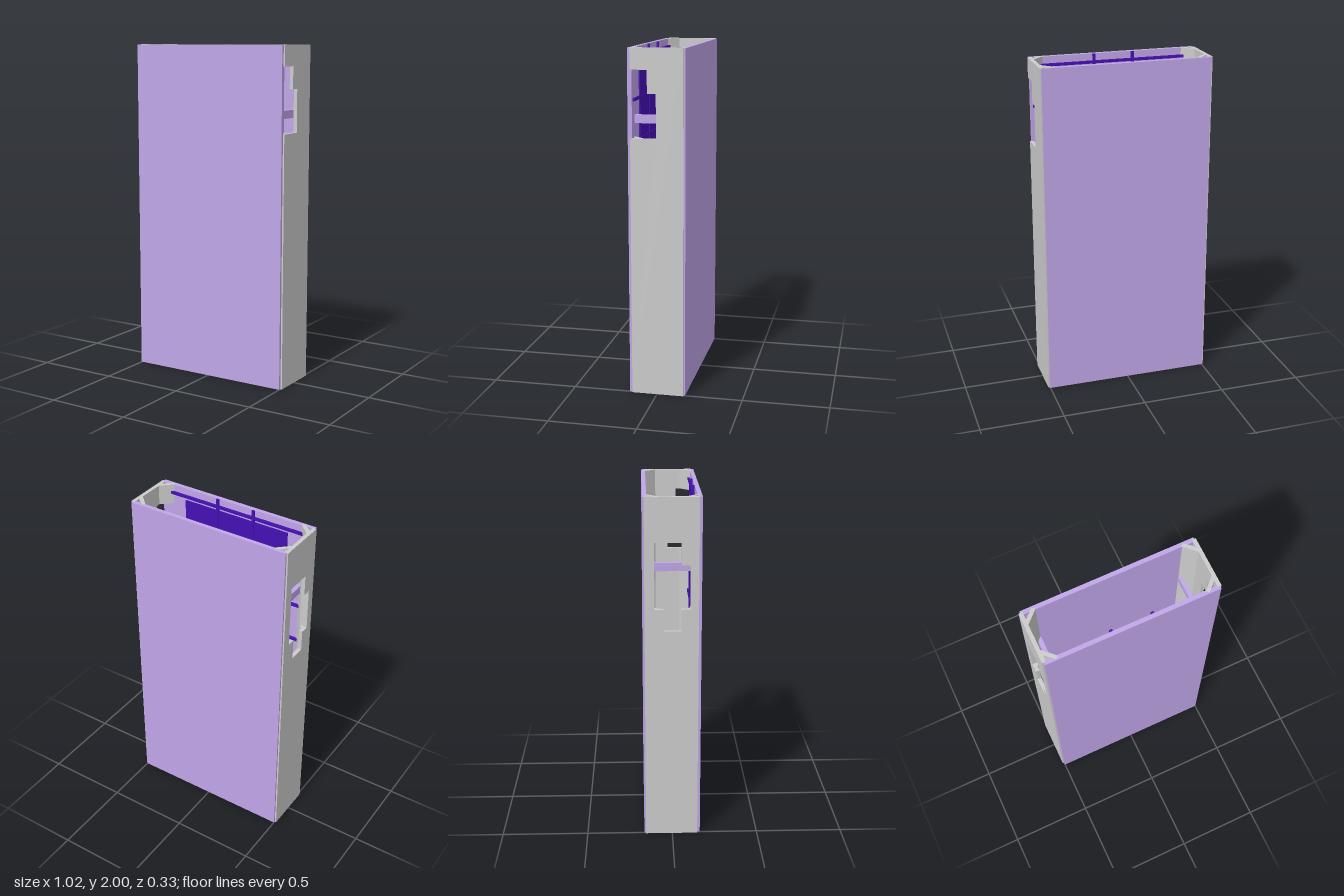
import * as THREE from 'three';

const material = (color) => new THREE.MeshStandardMaterial({ color, flatShading: true });

export function createModel() {
  const model = new THREE.Group();
  const grey = material(0xcccccc);
  const lilac = material(0xc0a6e8);
  const violet = material(0x4510b4);

  function add(name, geometry, mat) {
    const mesh = new THREE.Mesh(geometry, mat);
    mesh.name = name;
    model.add(mesh);
    return mesh;
  }

  function box(name, mat, x0, x1, y0, y1, z0, z1) {
    const geometry = new THREE.BoxGeometry(x1 - x0, y1 - y0, z1 - z0);
    geometry.translate((x0 + x1) / 2, (y0 + y1) / 2, (z0 + z1) / 2);
    return add(name, geometry, mat);
  }

  const outline = (points) => points.map(([a, b]) => new THREE.Vector2(a, b));

  // Side panel: a (z, y) outline given thickness along x
  function sidePanel(name, points, holes, x0, x1) {
    const shape = new THREE.Shape(outline(points));
    holes.forEach((hole) => shape.holes.push(new THREE.Path(outline(hole))));
    const geometry = new THREE.ExtrudeGeometry(shape, { depth: x1 - x0, bevelEnabled: false });
    geometry.rotateY(-Math.PI / 2).translate(x1, 0, 0);
    add(name, geometry, grey);
  }

  // Corner brace: an (x, z) outline mirrored to its corner and raised from y0 to y1
  const fullBrace = [[0.49, 0.075], [0.42, 0.143], [0.437, 0.157], [0.49, 0.107]];
  const notchedBrace = [[0.49, 0.1], [0.464, 0.1], [0.42, 0.143], [0.437, 0.157], [0.49, 0.107]];
  function brace(name, profile, sx, sz, y0, y1) {
    const shape = new THREE.Shape(outline(profile.map(([x, z]) => [x * sx, -z * sz])));
    const geometry = new THREE.ExtrudeGeometry(shape, { depth: y1 - y0, bevelEnabled: false });
    geometry.rotateX(-Math.PI / 2).translate(0, y0, 0);
    add(name, geometry, grey);
  }

  // Front and back plates
  box('frontPlate', lilac, -0.502, 0.502, 0.001, 1.999, 0.138, 0.163);
  box('backPlate', lilac, -0.502, 0.502, 0.001, 1.999, -0.165, -0.14);

  // Left panel, with a stepped notch open to the front edge
  sidePanel('leftPanel', [
    [-0.155, 0], [0.147, 0], [0.147, 1.5], [0, 1.5], [0, 1.75],
    [0.05, 1.75], [0.05, 1.88], [0.147, 1.88], [0.147, 2], [-0.155, 2],
  ], [], 0.489, 0.511);

  // Right panel, with a stepped window
  sidePanel('rightPanel', [[-0.155, 0], [0.147, 0], [0.147, 2], [-0.155, 2]], [[
    [-0.1, 1.375], [-0.05, 1.375], [-0.05, 1.25], [0.05, 1.25], [0.05, 1.375],
    [0.1, 1.375], [0.1, 1.625], [0.05, 1.625], [0.05, 1.75], [-0.1, 1.75],
  ]], -0.511, -0.489);

  // Diagonal corner braces, cut back where the openings pass through them
  brace('leftBackBrace', fullBrace, 1, -1, 0, 2);
  brace('leftFrontBraceLower', fullBrace, 1, 1, 0, 1.5);
  brace('leftFrontBraceUpper', fullBrace, 1, 1, 1.88, 2);
  [['Front', 1, 1.625], ['Back', -1, 1.75]].forEach(([place, sz, top]) => {
    brace(`right${place}BraceLower`, fullBrace, -1, sz, 0, 1.375);
    brace(`right${place}BraceNotch`, notchedBrace, -1, sz, 1.375, top);
    brace(`right${place}BraceUpper`, fullBrace, -1, sz, top, 2);
  });

  // Cross bars joining the plates beside each panel
  for (const x of [-0.434, 0.434]) {
    box('crossBar', lilac, x - 0.013, x + 0.013, 1.578, 1.625, -0.14, 0.138);
  }

  // Inner lattice on the front plate: sheet strips, uprights and rails
  for (const x of [-0.23, 0, 0.23]) {
    box('innerSheet', violet, x - 0.11, x + 0.11, 0.068, 1.925, 0.13, 0.139);
  }
  for (const x of [-0.118, 0.118]) {
    box('upright', violet, x - 0.008, x + 0.008, 0.002, 1.998, 0.126, 0.139);
  }
  for (let i = 0; i < 8; i++) {
    const y = 1.95 - i * 0.2375;
    box('rail', violet, -0.489, 0.489, y - 0.008, y + 0.008, 0.125, 0.139);
  }

  return model;
}
